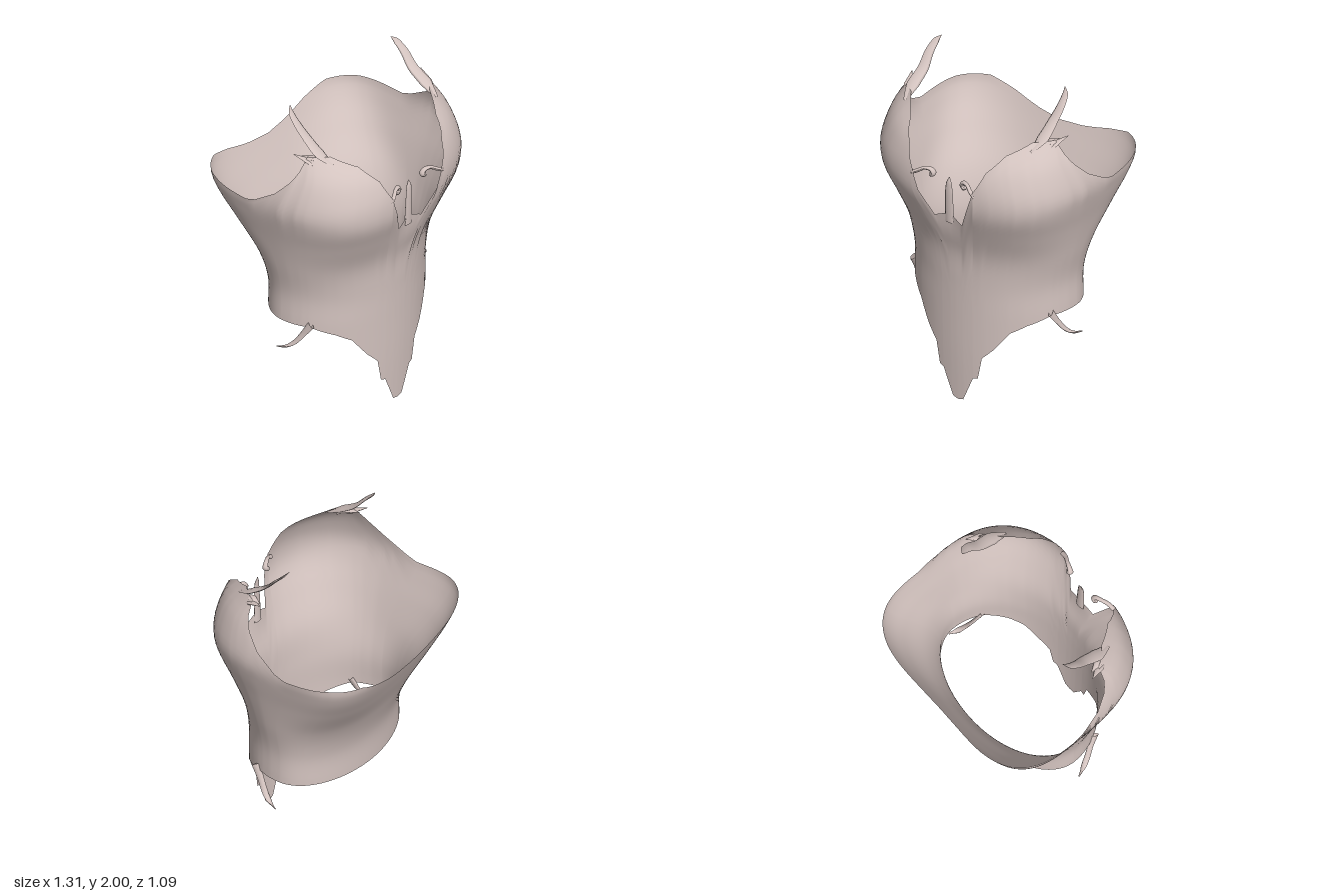
import * as THREE from 'three';

// Body sections by height: y, half width, front z, back z, centre z, roundness exponent
const SECTIONS = [
  [0.00, 0.50, 0.400, -0.300, 0.00, 2.0],
  [0.30, 0.50, 0.410, -0.300, 0.00, 2.0],
  [0.60, 0.51, 0.415, -0.300, 0.00, 2.0],
  [0.80, 0.51, 0.420, -0.312, 0.00, 2.0],
  [1.00, 0.55, 0.435, -0.380, 0.00, 2.1],
  [1.20, 0.595, 0.500, -0.470, -0.04, 2.5],
  [1.35, 0.635, 0.552, -0.535, -0.07, 2.8],
  [1.45, 0.655, 0.560, -0.570, -0.07, 2.8],
  [1.55, 0.635, 0.548, -0.570, -0.01, 2.6],
  [1.67, 0.585, 0.500, -0.540, 0.07, 2.3],
  [1.79, 0.515, 0.375, -0.500, 0.10, 2.0],
];

// Edge points of the left half, from front centre to back centre
const TOP_EDGE = [
  [0, 1.25, 0.49], [0.03, 1.25, 0.49], [0.09, 1.22, 0.49], [0.16, 1.38, 0.53],
  [0.2, 1.5, 0.54], [0.25, 1.63, 0.48], [0.32, 1.72, 0.39], [0.41, 1.78, 0.27],
  [0.5, 1.78, 0.18], [0.575, 1.67, 0.155], [0.635, 1.55, 0.06], [0.655, 1.44, -0.13],
  [0.61, 1.455, -0.39], [0.46, 1.45, -0.51], [0.32, 1.4, -0.555], [0, 1.34, -0.54],
];
const HEM_EDGE = [
  [0, 0, 0.4], [0.035, 0.01, 0.4], [0.1, 0.17, 0.4], [0.13, 0.18, 0.395],
  [0.155, 0.32, 0.39], [0.22, 0.39, 0.37], [0.3, 0.51, 0.33], [0.38, 0.56, 0.28],
  [0.47, 0.61, 0.17], [0.51, 0.61, 0], [0, 0.6, -0.3],
];

// Smooth interpolation of one section column at height y
function profile(y, k) {
  const S = SECTIONS, last = S.length - 1;
  if (y <= S[0][0]) return S[0][k];
  if (y >= S[last][0]) return S[last][k];
  let i = 0;
  while (y > S[i + 1][0]) i++;
  const slope = (j) => {
    const a = S[Math.max(j - 1, 0)], b = S[Math.min(j + 1, last)];
    return (b[k] - a[k]) / (b[0] - a[0]);
  };
  const h = S[i + 1][0] - S[i][0], u = (y - S[i][0]) / h, u2 = u * u, u3 = u2 * u;
  return (2 * u3 - 3 * u2 + 1) * S[i][k] + (u3 - 2 * u2 + u) * h * slope(i)
    + (3 * u2 - 2 * u3) * S[i + 1][k] + (u3 - u2) * h * slope(i + 1);
}

function section(y, back) {
  const n = profile(y, 5), cz = profile(y, 4);
  return {
    w: profile(y, 1), cz,
    d: Math.abs(profile(y, back ? 3 : 2) - cz),
    n: back ? 2 + (n - 2) * 2 : n,
  };
}

// Angle around the body of an edge point
function angleOf([x, y, z]) {
  const back = z < profile(y, 4), { w, cz, d, n } = section(y, back);
  const c = Math.pow(Math.abs(z - cz) / d, n / 2);
  return Math.atan2(Math.pow(x / w, n / 2), back ? -c : c);
}

// Point on the body at angle t (0 front, PI back) and height y
function bodyPoint(t, y) {
  const s = Math.sin(t), c = Math.cos(t), back = c < 0;
  const { w, cz, d, n } = section(y, back);
  const x = Math.sign(s) * w * Math.pow(Math.abs(s), 2 / n);
  let z = cz + Math.sign(c) * d * Math.pow(Math.abs(c), 2 / n);
  // hollow between the cups
  if (!back) z -= 0.06 * THREE.MathUtils.smoothstep(y, 1.05, 1.4) * Math.exp(-((x / 0.12) ** 2));
  return [x, y, z];
}

function edgeHeight(edge, t) {
  let i = 0;
  while (i < edge.length - 2 && t > edge[i + 1][0]) i++;
  const [a, b] = [edge[i], edge[i + 1]];
  const u = THREE.MathUtils.clamp((t - a[0]) / (b[0] - a[0]), 0, 1);
  return a[1] + (b[1] - a[1]) * u;
}

function gridGeometry(pos, cols, rows, wrap) {
  const index = [];
  for (let i = 0; i < (wrap ? cols : cols - 1); i++) {
    for (let j = 0; j < rows - 1; j++) {
      const a = i * rows + j, b = ((i + 1) % cols) * rows + j;
      index.push(a, b, b + 1, a, b + 1, a + 1);
    }
  }
  const g = new THREE.BufferGeometry();
  g.setAttribute('position', new THREE.Float32BufferAttribute(pos, 3));
  g.setIndex(index);
  g.computeVertexNormals();
  return g;
}

// Thin shell trimmed by the top and hem edges
function bodiceGeometry() {
  const toEdge = (pts) => pts.map((p) => [angleOf(p), p[1]]);
  const top = toEdge(TOP_EDGE), hem = toEdge(HEM_EDGE);
  const half = [];
  const add = (t, gap) => { if (half.every((q) => Math.abs(q - t) > gap)) half.push(t); };
  [...top, ...hem].forEach(([t]) => add(t, 0.002));
  for (let i = 0; i <= 48; i++) add((i / 48) * Math.PI, 0.025);
  half.sort((a, b) => a - b);
  const ts = [...half, ...half.slice(1, -1).reverse().map((t) => -t)];
  const rows = 33, pos = [];
  for (const t of ts) {
    const y0 = edgeHeight(hem, Math.abs(t)), y1 = edgeHeight(top, Math.abs(t));
    for (let j = 0; j < rows; j++) pos.push(...bodyPoint(t, y0 + (y1 - y0) * j / (rows - 1)));
  }
  return gridGeometry(pos, ts.length, rows, true);
}

// Tapered flat tube: points [x, y, z, half width], width direction, thickness ratio
function frondGeometry(pts, dir, flat, side = 1) {
  const curve = new THREE.CatmullRomCurve3(pts.map((p) => new THREE.Vector3(p[0] * side, p[1], p[2])));
  const rings = (pts.length - 1) * 5, sides = 8, pos = [];
  const wide = new THREE.Vector3(dir[0] * side, dir[1], dir[2]);
  for (let i = 0; i <= rings; i++) {
    const u = i / rings, f = u * (pts.length - 1), k = Math.min(Math.floor(f), pts.length - 2);
    const r = THREE.MathUtils.lerp(pts[k][3], pts[k + 1][3], f - k);
    const p = curve.getPoint(u), T = curve.getTangent(u);
    const D = wide.clone().addScaledVector(T, -wide.dot(T)).normalize();
    const N = T.clone().cross(D);
    for (let j = 0; j <= sides; j++) {
      const a = -(j / sides) * Math.PI * 2;
      const v = p.clone().addScaledVector(D, r * Math.cos(a)).addScaledVector(N, r * flat * Math.sin(a));
      pos.push(v.x, v.y, v.z);
    }
  }
  return gridGeometry(pos, rings + 1, sides + 1, false);
}

export function createModel() {
  const group = new THREE.Group();
  const shell = new THREE.MeshStandardMaterial({ color: 0xd3c3bf, side: THREE.DoubleSide });
  shell.name = 'paleRose';
  const add = (name, geometry) => {
    const mesh = new THREE.Mesh(geometry, shell);
    mesh.name = name;
    group.add(mesh);
  };

  add('bodice', bodiceGeometry());

  // Upright leaf at the centre of the neckline
  add('centreProng', frondGeometry(
    [[0, 1.2, 0.475, 0.031], [0, 1.3, 0.48, 0.029], [0, 1.4, 0.483, 0.026], [0, 1.46, 0.482, 0.019], [0, 1.495, 0.478, 0.002]],
    [1, 0, 0], 0.35));

  for (const [side, label] of [[1, 'left'], [-1, 'right']]) {
    // Leaf sweeping up and back from the top of the cup
    add(label + 'ShoulderLeaf', frondGeometry(
      [[0.43, 1.74, 0.31, 0.012], [0.445, 1.79, 0.22, 0.038], [0.443, 1.85, 0.13, 0.033],
        [0.45, 1.92, 0.065, 0.027], [0.442, 1.97, 0.015, 0.02], [0.423, 2.0, -0.01, 0.002]],
      [1, 0, 0.15], 0.25, side));
    // Small barbs beside the leaf
    add(label + 'OuterBarb', frondGeometry(
      [[0.47, 1.72, 0.27, 0.006], [0.498, 1.755, 0.19, 0.026], [0.535, 1.785, 0.11, 0.002]],
      [1, 0, 0.4], 0.4, side));
    add(label + 'InnerBarb', frondGeometry(
      [[0.45, 1.75, 0.26, 0.006], [0.475, 1.77, 0.2, 0.025], [0.495, 1.765, 0.135, 0.002]],
      [1, 0, 0.4], 0.4, side));
    // Curled tendril on the neckline
    add(label + 'NeckCurl', frondGeometry(
      [[0.215, 1.475, 0.535, 0.014], [0.18, 1.495, 0.528, 0.012], [0.145, 1.515, 0.51, 0.011],
        [0.112, 1.512, 0.497, 0.014], [0.1, 1.492, 0.492, 0.018], [0.115, 1.477, 0.492, 0.018], [0.128, 1.478, 0.492, 0.002]],
      [0, 0, 1], 0.9, side));
    // Curved tail hanging from the hip
    add(label + 'HipTail', frondGeometry(
      [[0.468, 0.635, 0.18, 0.026], [0.485, 0.56, 0.135, 0.019], [0.505, 0.5, 0.095, 0.017],
        [0.527, 0.46, 0.045, 0.015], [0.547, 0.45, 0.0, 0.005]],
      [0, 0.6, 1], 0.5, side));
  }
  return group;
}
